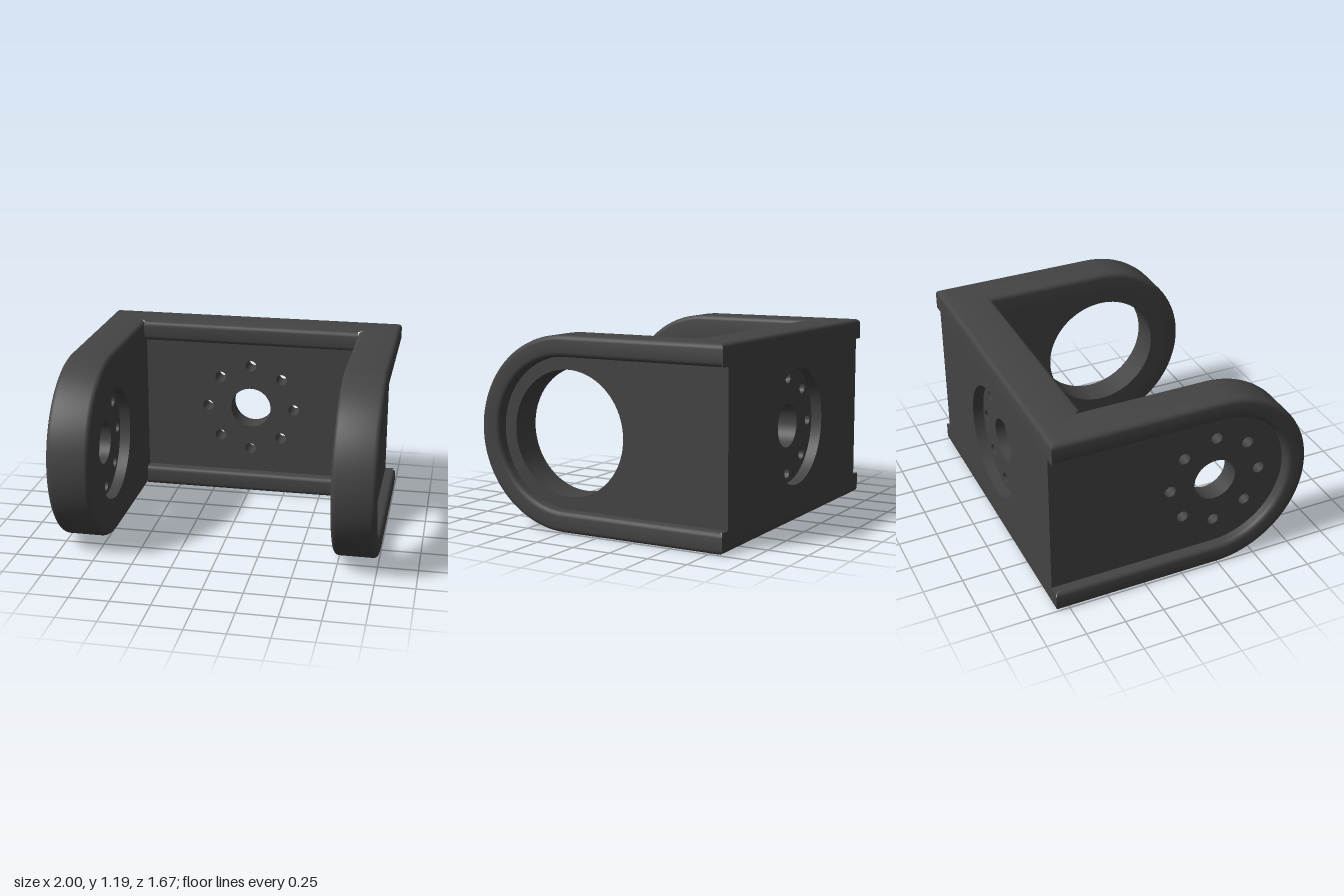
import * as THREE from 'three';
import { toCreasedNormals } from 'three/addons/utils/BufferGeometryUtils.js';

const R = 0.595;        // half height and radius of the arm ends
const RIM = 0.13;       // width of the raised rims
const ARC_Z = 0.24;     // centre of the rounded arm ends
const BACK = -0.835, WEB_FRONT = -0.61, LIP_FRONT = -0.54;
const INNER = 0.73, WEB_OUTER = 0.93, RECESS = 0.07;

const material = new THREE.MeshStandardMaterial({ color: 0x444444 });

function mesh(name, geometry) {
  const m = new THREE.Mesh(toCreasedNormals(geometry, 0.5), material);
  m.name = name;
  return m;
}

// Rim cross-section: u runs inward from the edge, v away from the flush face; three corners rounded
function rimSection(h, r = 0.03) {
  const points = [[RIM, 0]];
  const corner = (u, v, start) => {
    for (let i = 0; i <= 4; i++) {
      const a = start - (i / 4) * Math.PI / 2;
      points.push([u + r * Math.cos(a), v + r * Math.sin(a)]);
    }
  };
  corner(r, r, 1.5 * Math.PI);
  corner(r, h - r, Math.PI);
  corner(RIM - r, h - r, Math.PI / 2);
  return points;
}

// Skin between successive closed rings
function loft(rings) {
  const n = rings[0].length, index = [];
  for (let i = 0; i < rings.length - 1; i++) {
    for (let j = 0; j < n; j++) {
      const k = (j + 1) % n, a = i * n, b = a + n;
      index.push(a + j, b + j, a + k, b + j, b + k, a + k);
    }
  }
  const g = new THREE.BufferGeometry();
  g.setAttribute('position', new THREE.Float32BufferAttribute(rings.flat(2), 3));
  g.setIndex(index);
  return g;
}

// Flat panel with round holes [x, y, radius]
function panel(outline, holes, depth) {
  const shape = outline();
  for (const [x, y, r] of holes) {
    shape.holes.push(new THREE.Path().absarc(x, y, r, 0, Math.PI * 2, true));
  }
  return new THREE.ExtrudeGeometry(shape, { depth, bevelEnabled: false, curveSegments: 40 });
}

// Centre bore and eight bolt holes
function boltPattern(cx) {
  const holes = [[cx, 0, 0.138]];
  for (let i = 0; i < 8; i++) {
    const a = i * Math.PI / 4;
    holes.push([cx + 0.3 * Math.cos(a), 0.3 * Math.sin(a), 0.037]);
  }
  return holes;
}

function armOutline() {
  const r = R - RIM;
  const s = new THREE.Shape();
  s.moveTo(-WEB_FRONT, -r);
  s.lineTo(-WEB_FRONT, r);
  s.lineTo(-ARC_Z, r);
  s.absarc(-ARC_Z, 0, r, Math.PI / 2, Math.PI * 1.5, false);
  s.closePath();
  return s;
}

function plateOutline() {
  const w = WEB_OUTER, h = R - RIM;
  return new THREE.Shape([[-w, -h], [w, -h], [w, h], [-w, h]].map(p => new THREE.Vector2(...p)));
}

// Rim running along the top, round the end and back along the bottom, mitred at the back corners
function armRim() {
  const section = rimSection(1 - INNER);
  const mitre = v => BACK + (1 - INNER - v);
  const rings = [section.map(([u, v]) => [INNER + v, R - u, mitre(v)])];
  for (let i = 0; i <= 48; i++) {
    const a = Math.PI / 2 - (i / 48) * Math.PI;
    rings.push(section.map(([u, v]) =>
      [INNER + v, (R - u) * Math.sin(a), ARC_Z + (R - u) * Math.cos(a)]));
  }
  rings.push(section.map(([u, v]) => [INNER + v, u - R, mitre(v)]));
  return loft(rings);
}

// Arm on the +x side; the inner and outer layers carry their own holes
function makeArm(name, innerHoles, outerHoles) {
  const arm = new THREE.Group();
  arm.name = name;
  const inner = panel(armOutline, innerHoles, RECESS).rotateY(Math.PI / 2).translate(INNER, 0, 0);
  const outer = panel(armOutline, outerHoles, WEB_OUTER - INNER - RECESS)
    .rotateY(Math.PI / 2).translate(INNER + RECESS, 0, 0);
  arm.add(mesh('armInnerWeb', inner), mesh('armOuterWeb', outer), mesh('armRim', armRim()));
  return arm;
}

// Lip along the top of the back plate, mitred into the arm rims
function plateLip() {
  const section = rimSection(LIP_FRONT - BACK);
  return loft([1, -1].map(side =>
    section.map(([u, v]) => [side * Math.max(1 - v, INNER), R - u, BACK + v])));
}

export function createModel() {
  const body = new THREE.Group();
  body.name = 'bracketBody';
  body.position.y = R;

  // Arm with the large open bore
  const bore = [[-ARC_Z, 0, 0.385]];
  body.add(makeArm('boredArm', bore, bore));

  // Arm with the recessed bolt circle, turned to the other side
  const bolted = makeArm('boltedArm', [[-ARC_Z, 0, 0.36]], boltPattern(-ARC_Z));
  bolted.rotation.z = Math.PI;
  body.add(bolted);

  // Back plate with a recess in its rear face
  body.add(mesh('plateRearWeb', panel(plateOutline, [[0, 0, 0.365]], RECESS).translate(0, 0, BACK)));
  body.add(mesh('plateFrontWeb',
    panel(plateOutline, boltPattern(0), WEB_FRONT - BACK - RECESS).translate(0, 0, BACK + RECESS)));

  // Top and bottom lips
  for (const [name, turn] of [['topLip', 0], ['bottomLip', Math.PI]]) {
    const lip = mesh(name, plateLip());
    lip.rotation.z = turn;
    body.add(lip);
  }

  const model = new THREE.Group();
  model.name = 'bracket';
  model.add(body);
  return model;
}
